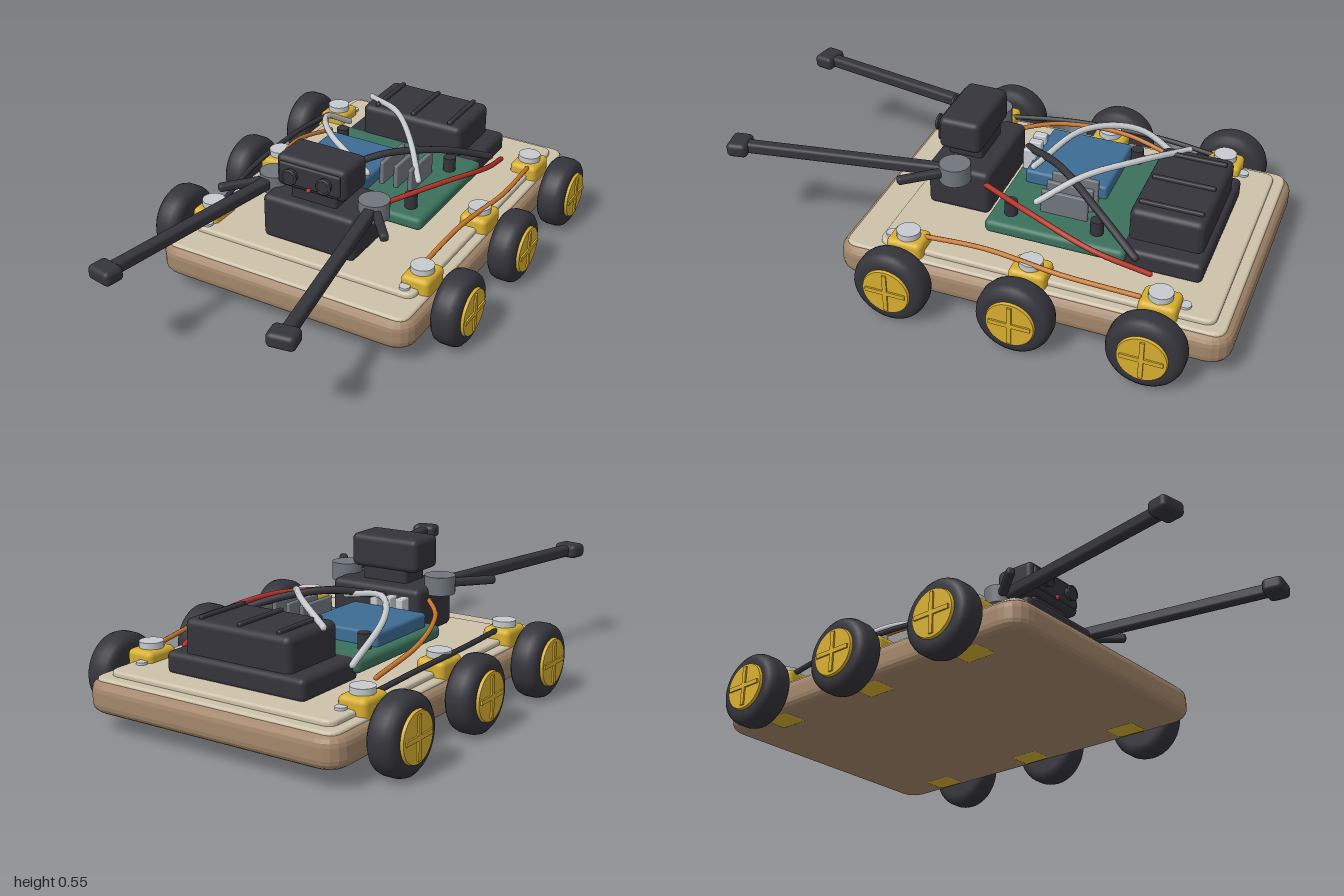
import * as THREE from 'three';
import { RoundedBoxGeometry } from 'three/addons/geometries/RoundedBoxGeometry.js';

const V = (p) => new THREE.Vector3(...p);

function makeMaterials() {
  const colours = {
    charcoal: 0x34343b, yellow: 0xd6ae30, silver: 0xc6cace, steel: 0x70767d, beige: 0xcdc2aa,
    brown: 0xa3866a, green: 0x3a705c, blue: 0x3d6c94, orange: 0xc8782c, red: 0xb53226,
  };
  const mats = {};
  for (const [name, color] of Object.entries(colours)) {
    mats[name] = new THREE.MeshStandardMaterial({ color });
    mats[name].name = name;
  }
  return mats;
}

function add(parent, name, geometry, material, x = 0, y = 0, z = 0) {
  const mesh = new THREE.Mesh(geometry, material);
  mesh.name = name;
  mesh.position.set(x, y, z);
  parent.add(mesh);
  return mesh;
}

// Rounded box standing between heights y0 and y1
function block(parent, name, mat, w, d, y0, y1, x, z, r = 0.015) {
  return add(parent, name, new RoundedBoxGeometry(w, y1 - y0, d, 3, r), mat, x, (y0 + y1) / 2, z);
}

// Upright cylinder between heights y0 and y1
function post(parent, name, mat, r, y0, y1, x, z) {
  return add(parent, name, new THREE.CylinderGeometry(r, r, y1 - y0, 24), mat, x, (y0 + y1) / 2, z);
}

// Flat slab with rounded corners in plan and a bevelled rim
function slab(parent, name, mat, w, d, y0, y1, corner, bevel, z = 0) {
  const a = w / 2 - bevel, b = d / 2 - bevel, s = new THREE.Shape();
  s.moveTo(-a + corner, -b);
  s.lineTo(a - corner, -b).quadraticCurveTo(a, -b, a, -b + corner);
  s.lineTo(a, b - corner).quadraticCurveTo(a, b, a - corner, b);
  s.lineTo(-a + corner, b).quadraticCurveTo(-a, b, -a, b - corner);
  s.lineTo(-a, -b + corner).quadraticCurveTo(-a, -b, -a + corner, -b);
  const geo = new THREE.ExtrudeGeometry(s, {
    depth: y1 - y0 - 2 * bevel, bevelEnabled: true, bevelSize: bevel,
    bevelThickness: bevel, bevelSegments: 4, curveSegments: 5,
  });
  geo.translate(0, 0, bevel).rotateX(-Math.PI / 2);
  return add(parent, name, geo, mat, 0, y0, z);
}

function wire(parent, name, mat, r, points) {
  const curve = new THREE.CatmullRomCurve3(points.map(V));
  add(parent, name, new THREE.TubeGeometry(curve, 32, r, 8), mat);
  for (const p of [points[0], points[points.length - 1]])
    add(parent, name + 'End', new THREE.SphereGeometry(r, 8, 6), mat, ...p);
}

// Wheel whose outer face looks along +x
function makeWheel(m) {
  const wheel = new THREE.Group();
  wheel.name = 'wheel';
  const profile = [[0, -0.052], [0.1, -0.052], [0.118, -0.049], [0.131, -0.038], [0.137, -0.02],
    [0.137, 0.02], [0.131, 0.038], [0.118, 0.049], [0.1, 0.052], [0, 0.052]];
  const tyre = new THREE.LatheGeometry(profile.map((p) => new THREE.Vector2(...p)), 36);
  add(wheel, 'tyre', tyre.rotateZ(-Math.PI / 2), m.charcoal);
  add(wheel, 'hub', new THREE.CylinderGeometry(0.086, 0.092, 0.02, 32).rotateZ(-Math.PI / 2), m.yellow, 0.052);
  add(wheel, 'hubRib', new THREE.BoxGeometry(0.012, 0.15, 0.016), m.yellow, 0.062);
  add(wheel, 'hubRib', new THREE.BoxGeometry(0.012, 0.016, 0.15), m.yellow, 0.062);
  add(wheel, 'axle', new THREE.CylinderGeometry(0.025, 0.025, 0.1, 16).rotateZ(Math.PI / 2), m.yellow, -0.08);
  return wheel;
}

// Straight bar with a grip at its far end
function makeArm(parent, m, shoulder, hand, strutEnd) {
  const bar = (name, a, b, w) => {
    const length = V(a).distanceTo(V(b));
    const mesh = add(parent, name, new RoundedBoxGeometry(w, w, length, 2, 0.012), m.charcoal);
    mesh.position.copy(V(a).lerp(V(b), 0.5));
    mesh.lookAt(V(b));
    return mesh;
  };
  bar('arm', shoulder, hand, 0.044);
  bar('armStrut', shoulder, strutEnd, 0.032);
  const grip = add(parent, 'armTip', new RoundedBoxGeometry(0.1, 0.055, 0.078, 3, 0.018), m.charcoal, ...hand);
  grip.lookAt(V(hand).multiplyScalar(2).sub(V(shoulder)));
  post(parent, 'shoulder', m.steel, 0.057, 0.35, 0.418, shoulder[0], shoulder[2]);
}

export function createModel() {
  const m = makeMaterials();
  const root = new THREE.Group();
  root.name = 'roverRobot';
  const rover = new THREE.Group();
  rover.name = 'rover';
  rover.position.z = -0.25;
  rover.rotation.y = -0.066;
  root.add(rover);

  // Chassis
  slab(rover, 'chassisBase', m.brown, 1.04, 1.435, 0.066, 0.18, 0.05, 0.036);
  slab(rover, 'chassisTop', m.beige, 0.99, 1.385, 0.165, 0.188, 0.04, 0.01);
  slab(rover, 'deckPanel', m.beige, 0.92, 1.225, 0.18, 0.207, 0.03, 0.01, -0.04);

  // Wheels, motors and deck screws on both sides
  for (const side of [-1, 1]) {
    for (const z of [-0.46, 0, 0.46]) {
      const wheel = makeWheel(m);
      wheel.position.set(side * 0.582, 0.137, z);
      if (side < 0) wheel.rotation.y = Math.PI;
      rover.add(wheel);
      block(rover, 'motor', m.yellow, 0.11, 0.135, 0.062, 0.245, side * 0.44, z, 0.02);
      post(rover, 'motorCap', m.silver, 0.043, 0.23, 0.267, side * 0.44, z);
    }
    for (const z of [-0.54, 0.54]) post(rover, 'screw', m.silver, 0.02, 0.2, 0.216, side * 0.413, z);
  }

  // Battery pack
  block(rover, 'batteryTray', m.charcoal, 0.57, 0.305, 0.2, 0.28, 0, -0.406, 0.02);
  block(rover, 'batteryBox', m.charcoal, 0.435, 0.267, 0.25, 0.4, 0, -0.406, 0.025);
  for (const x of [-0.16, 0, 0.16]) block(rover, 'batteryRib', m.charcoal, 0.018, 0.23, 0.38, 0.412, x, -0.406, 0.006);

  // Circuit boards and components
  block(rover, 'mainBoard', m.green, 0.62, 0.52, 0.228, 0.28, 0, -0.03, 0.02);
  block(rover, 'boardSpacer', m.charcoal, 0.5, 0.4, 0.2, 0.235, 0, -0.03, 0.01);
  block(rover, 'controlBoard', m.blue, 0.31, 0.315, 0.27, 0.33, -0.124, 0.022, 0.012);
  for (const x of [0.055, 0.115, 0.175]) block(rover, 'heatFin', m.steel, 0.018, 0.175, 0.27, 0.37, x, -0.025, 0.005);
  for (const [x, z] of [[-0.247, -0.165], [0.23, -0.165], [0.232, 0.155]])
    post(rover, 'capacitor', m.charcoal, 0.024, 0.27, 0.335, x, z);
  for (const x of [-0.168, -0.118, -0.06]) block(rover, 'connector', m.silver, 0.032, 0.05, 0.28, 0.365, x, 0.192, 0.005);

  // Body, neck and head
  block(rover, 'body', m.charcoal, 0.38, 0.24, 0.205, 0.38, -0.005, 0.38, 0.022);
  block(rover, 'neck', m.charcoal, 0.19, 0.13, 0.37, 0.435, -0.005, 0.39, 0.012);
  block(rover, 'head', m.charcoal, 0.285, 0.16, 0.422, 0.547, -0.005, 0.395, 0.022);
  block(rover, 'facePlate', m.charcoal, 0.25, 0.02, 0.443, 0.527, -0.005, 0.474, 0.008);
  for (const x of [-0.075, 0.065]) {
    add(rover, 'eye', new THREE.CylinderGeometry(0.026, 0.026, 0.04, 24).rotateX(Math.PI / 2), m.charcoal, x, 0.485, 0.485);
    add(rover, 'eyeRing', new THREE.TorusGeometry(0.026, 0.005, 8, 24), m.charcoal, x, 0.485, 0.502);
  }
  add(rover, 'statusLight', new THREE.SphereGeometry(0.009, 12, 8), m.red, -0.005, 0.443, 0.486);

  // Arms
  makeArm(root, m, [-0.235, 0.386, 0.12], [-0.43, 0.384, 0.905], [-0.385, 0.386, 0.275]);
  makeArm(root, m, [0.177, 0.386, 0.145], [0.26, 0.384, 0.955], [0.3, 0.386, 0.32]);

  // Wiring
  wire(root, 'redWire', m.red, 0.01, [[0.372, 0.25, -0.62], [0.382, 0.31, -0.42], [0.3, 0.345, -0.19], [0.15, 0.335, 0.05]]);
  wire(root, 'leftOrangeWire', m.orange, 0.009, [[0.485, 0.24, -0.61], [0.483, 0.262, -0.34], [0.425, 0.262, -0.05], [0.39, 0.235, 0.2]]);
  wire(root, 'rightOrangeWire', m.orange, 0.009, [[-0.36, 0.235, -0.57], [-0.39, 0.29, -0.34], [-0.33, 0.325, -0.1], [-0.21, 0.33, 0.08]]);
  wire(root, 'sideBlackWire', m.charcoal, 0.01, [[-0.43, 0.235, -0.7], [-0.46, 0.25, -0.48], [-0.478, 0.25, -0.13], [-0.46, 0.235, 0.13]]);
  wire(root, 'blackWire', m.charcoal, 0.014, [[0.345, 0.285, -0.56], [0.22, 0.365, -0.39], [0.05, 0.395, -0.21], [-0.09, 0.36, -0.05]]);
  wire(root, 'whiteWire', m.silver, 0.012, [[-0.29, 0.275, -0.6], [-0.3, 0.38, -0.42], [-0.19, 0.41, -0.235], [0.03, 0.36, -0.105]]);
  wire(root, 'whiteWire', m.silver, 0.012, [[-0.2, 0.395, -0.63], [-0.025, 0.43, -0.485], [0.11, 0.415, -0.315], [0.21, 0.34, -0.17]]);
  return root;
}
